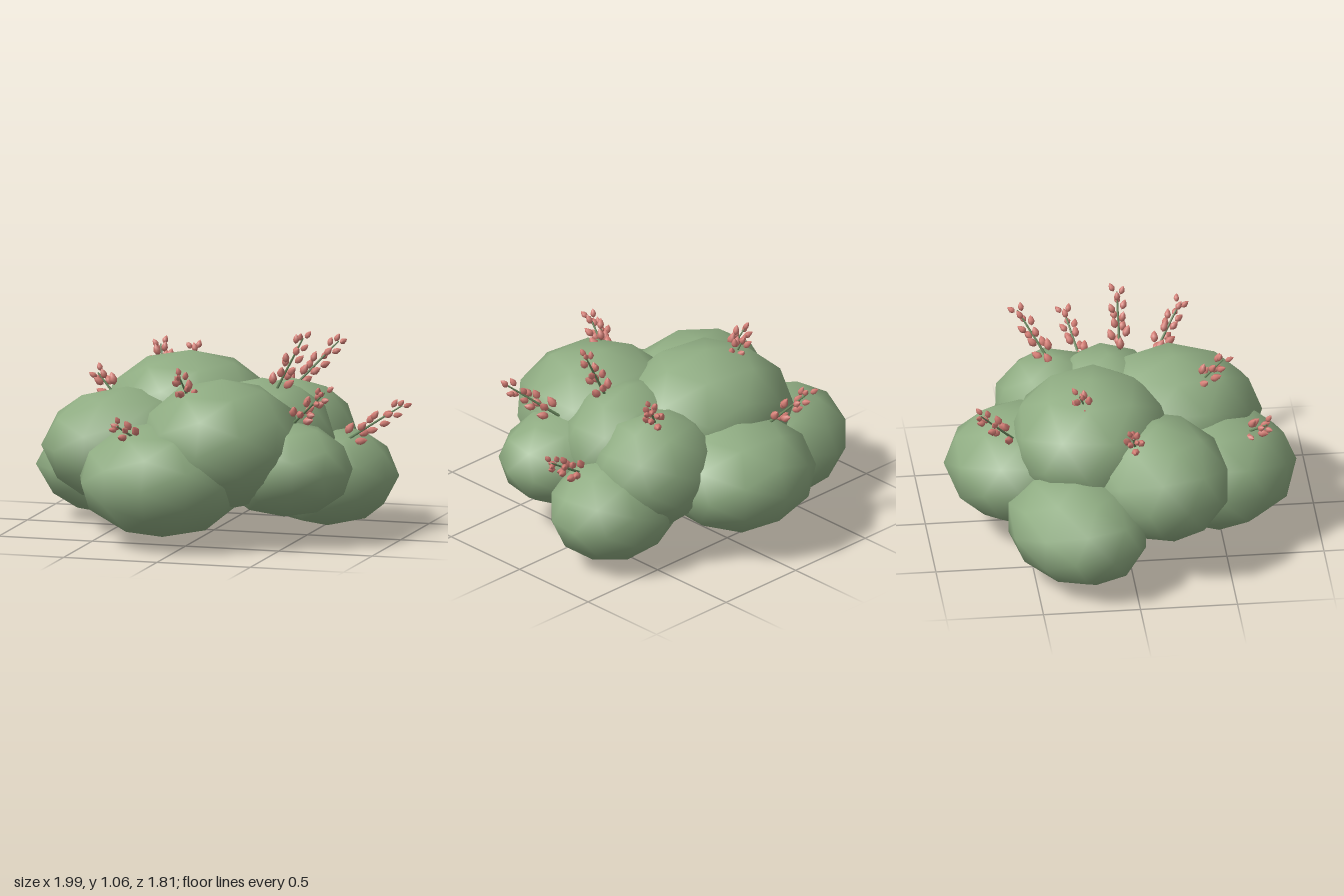
import * as THREE from 'three';

const leaf = new THREE.MeshStandardMaterial({ color: 0x8fac82 });
leaf.name = 'leaf green';
const stemGreen = new THREE.MeshStandardMaterial({ color: 0x6b8a5f });
stemGreen.name = 'stem green';
const coral = new THREE.MeshStandardMaterial({ color: 0xd67f76 });
coral.name = 'bud coral';

// Foliage lobes: centre, radii, turn about y
const LOBES = [
  ['backLobe', [-0.06, 0.37, -0.5], [0.42, 0.29, 0.41], -0.08],
  ['rightBackLobe', [-0.57, 0.27, -0.28], [0.45, 0.27, 0.35], 0.33],
  ['rightFrontLobe', [-0.42, 0.445, 0.15], [0.44, 0.305, 0.37], 0.28],
  ['leftBackLobe', [0.54, 0.28, -0.22], [0.37, 0.265, 0.32], 0.2],
  ['leftFrontLobe', [0.44, 0.38, 0.22], [0.37, 0.25, 0.31], -0.2],
  ['frontLobe', [-0.135, 0.335, 0.465], [0.435, 0.3, 0.435], 0.04],
  ['upperFrontLobe', [0.13, 0.5, 0.29], [0.425, 0.34, 0.46], 0],
  ['crownLobe', [-0.175, 0.56, -0.165], [0.465, 0.34, 0.425], -0.15],
  ['upperLeftLobe', [0.25, 0.5, -0.03], [0.38, 0.3, 0.32], 0.1],
  ['upperLeftBackLobe', [0.32, 0.46, -0.3], [0.35, 0.3, 0.32], 0.2],
];

// Flower sprigs: base and tip
const SPRIGS = [
  [[-0.25, 0.64, -0.6], [-0.35, 0.84, -0.78]],
  [[-0.34, 0.82, -0.21], [-0.37, 0.95, -0.26]],
  [[-0.55, 0.71, 0.02], [-0.65, 0.82, 0]],
  [[-0.24, 0.58, 0.64], [-0.32, 0.67, 0.76]],
  [[-0.01, 0.76, 0.42], [-0.03, 0.92, 0.56]],
  [[0.53, 0.65, 0.25], [0.74, 0.84, 0.41]],
  [[0.36, 0.78, 0.04], [0.51, 1.07, 0.04]],
  [[0.34, 0.72, -0.32], [0.55, 0.96, -0.49]],
  [[0.7, 0.5, -0.12], [0.99, 0.69, -0.19]],
];

const UP = new THREE.Vector3(0, 1, 0);

// Pointed bud, one unit long, growing along +y
const budGeometry = new THREE.LatheGeometry(
  [[0, 0], [0.22, 0.16], [0.32, 0.42], [0.2, 0.75], [0, 1]].map(([r, y]) => new THREE.Vector2(r, y)), 6);

function makeSprig(base, tip) {
  const sprig = new THREE.Group();
  sprig.name = 'flowerSprig';
  const start = new THREE.Vector3(...base);
  const axis = new THREE.Vector3(...tip).sub(start);
  const length = axis.length() - 0.045;
  sprig.position.copy(start);
  sprig.quaternion.setFromUnitVectors(UP, axis.normalize());

  const stem = new THREE.Mesh(new THREE.CylinderGeometry(0.004, 0.008, length + 0.06, 6), stemGreen);
  stem.name = 'stem';
  stem.position.y = (length - 0.06) / 2;
  sprig.add(stem);

  // Opposite pairs of buds, shrinking toward the tip
  const levels = Math.round(length / 0.06) + 2;
  for (let i = 0; i < levels * 2; i++) {
    const level = Math.floor(i / 2);
    const t = level / (levels - 1);
    const angle = level * 1.9 + (i % 2) * Math.PI;
    const out = new THREE.Vector3(Math.cos(angle), 0, Math.sin(angle));
    const bud = new THREE.Mesh(budGeometry, coral);
    bud.name = 'bud';
    bud.scale.setScalar(0.07 - 0.022 * t);
    bud.position.copy(out).multiplyScalar(0.03 - 0.012 * t);
    bud.position.y = length * t - (i % 2) * 0.016;
    bud.quaternion.setFromUnitVectors(UP, out.clone().multiplyScalar(0.45).add(UP).normalize());
    sprig.add(bud);
  }
  return sprig;
}

export function createModel() {
  const model = new THREE.Group();
  model.name = 'floweringShrub';

  const lobeGeometry = new THREE.IcosahedronGeometry(1, 1);
  for (const [name, centre, radii, turn] of LOBES) {
    const lobe = new THREE.Mesh(lobeGeometry, leaf);
    lobe.name = name;
    lobe.position.set(...centre);
    lobe.scale.set(...radii);
    lobe.rotation.y = turn;
    model.add(lobe);
  }

  for (const [base, tip] of SPRIGS) model.add(makeSprig(base, tip));
  return model;
}
